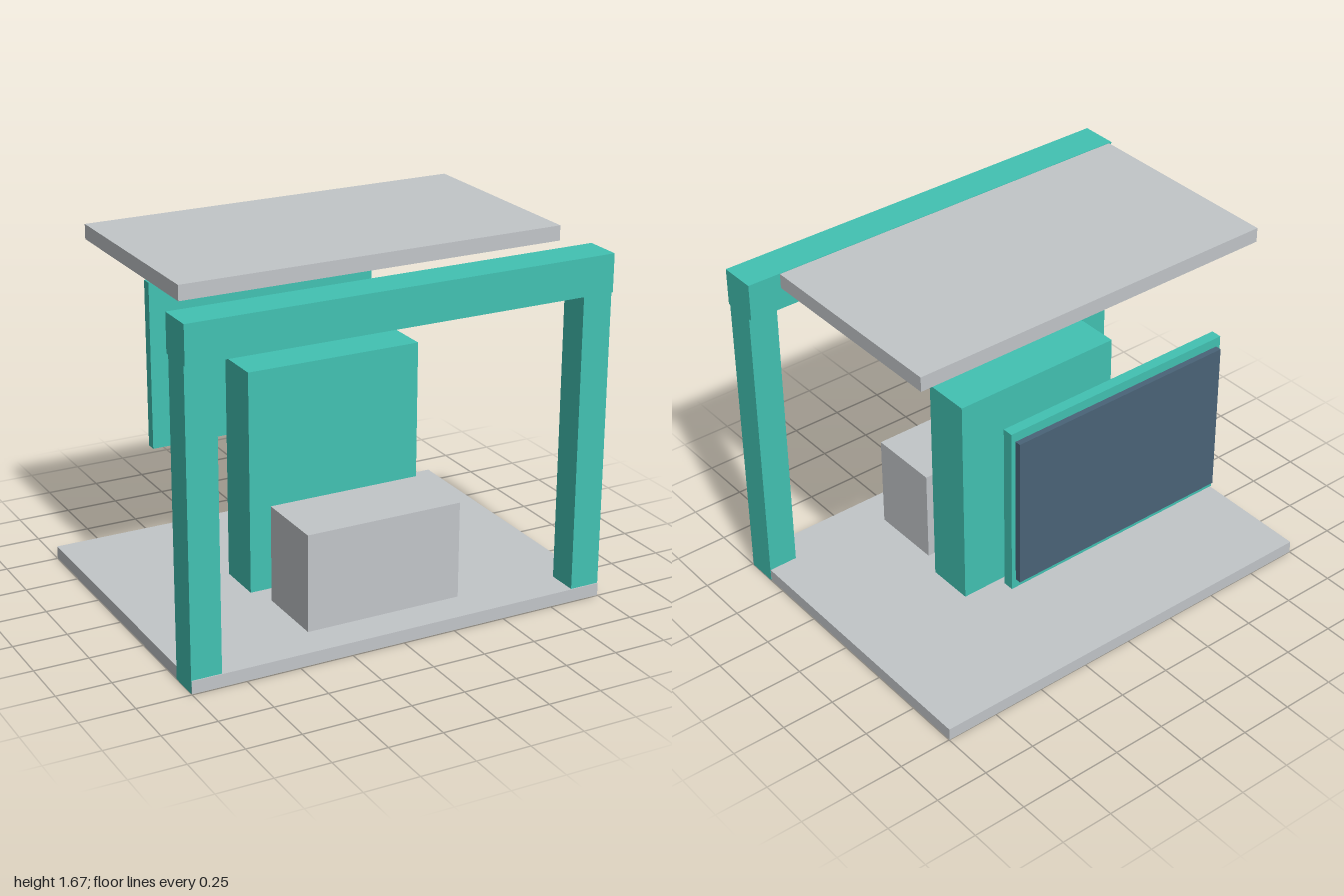
import * as THREE from 'three';

export function createModel() {
  const model = new THREE.Group();
  model.name = 'exhibitionStand';

  const material = (name, color) => {
    const m = new THREE.MeshStandardMaterial({ color });
    m.name = name;
    return m;
  };
  const teal = material('teal', 0x42c2b3);
  const grey = material('lightGrey', 0xc2c6c9);
  const slate = material('slateBlue', 0x4a6478);

  // Axis-aligned block given by its extents on each axis
  const block = (name, mat, [x0, x1], [y0, y1], [z0, z1]) => {
    const mesh = new THREE.Mesh(new THREE.BoxGeometry(x1 - x0, y1 - y0, z1 - z0), mat);
    mesh.position.set((x0 + x1) / 2, (y0 + y1) / 2, (z0 + z1) / 2);
    mesh.name = name;
    model.add(mesh);
  };

  // Floor, set back a hair so the posts and wall show cleanly through it
  block('floor', grey, [-0.999, 0.999], [0.001, 0.06], [-0.752, 0.748]);

  // Front gateway: two posts and a slightly deeper beam
  block('leftPost', teal, [0.86, 1], [0, 1.43], [0.597, 0.743]);
  block('rightPost', teal, [-1, -0.86], [0, 1.43], [0.597, 0.743]);
  block('frontBeam', teal, [-1, 1], [1.43, 1.603], [0.58, 0.753]);

  // Counter and the central wall behind it
  block('counter', grey, [-0.373, 0.373], [0.06, 0.512], [0.225, 0.573]);
  block('centralWall', teal, [-0.42, 0.42], [0, 1.1], [-0.113, 0.112]);

  // Rear display: backing board with a screen facing backwards
  block('displayBoard', teal, [-0.57, 0.57], [0.527, 1.327], [-0.638, -0.589]);
  block('displayScreen', slate, [-0.549, 0.549], [0.57, 1.284], [-0.666, -0.638]);

  // Floating canopy
  block('canopy', grey, [-0.901, 0.901], [1.602, 1.67], [-0.491, 0.484]);

  return model;
}
